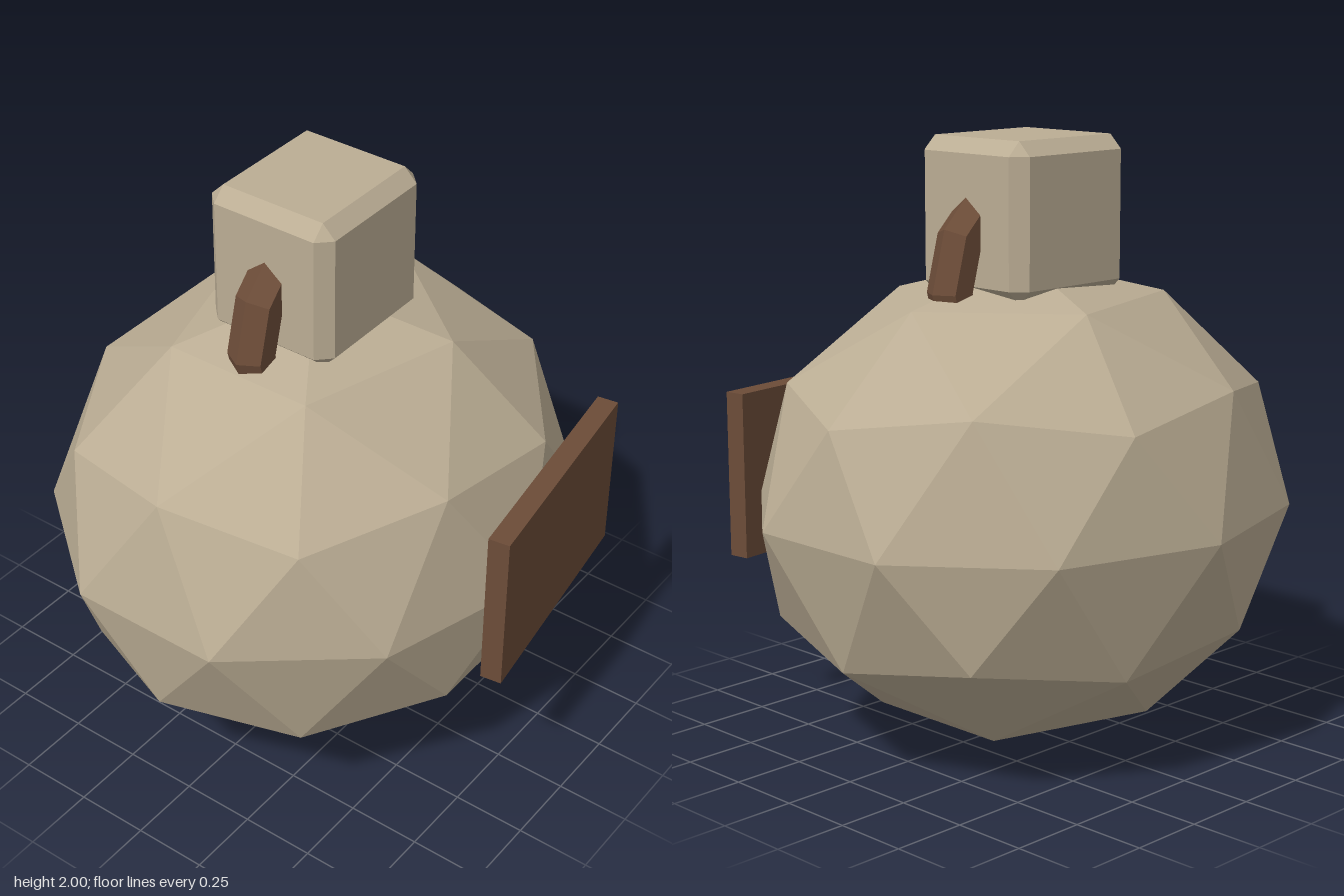
import * as THREE from 'three';
import { ConvexGeometry } from 'three/addons/geometries/ConvexGeometry.js';

const CENTRE_Z = -0.03;

const clay = new THREE.MeshStandardMaterial({ color: 0xbbad94, flatShading: true });
clay.name = 'clay';
const leather = new THREE.MeshStandardMaterial({ color: 0x6c4c38, flatShading: true });
leather.name = 'brown';

// Box with every edge cut off at 45 degrees
function chamferedBox(w, h, d, c) {
  const points = [];
  for (const sx of [-1, 1]) for (const sy of [-1, 1]) for (const sz of [-1, 1]) {
    for (let axis = 0; axis < 3; axis++) {
      const p = [w / 2 - c, h / 2 - c, d / 2 - c];
      p[axis] += c;
      points.push(new THREE.Vector3(sx * p[0], sy * p[1], sz * p[2]));
    }
  }
  return new ConvexGeometry(points);
}

export function createModel() {
  const model = new THREE.Group();
  model.name = 'jug';

  function add(name, geometry, material, x, y, z) {
    const mesh = new THREE.Mesh(geometry, material);
    mesh.name = name;
    mesh.position.set(x, y, z);
    model.add(mesh);
    return mesh;
  }

  // Faceted round body, turned so a corner points straight up
  const ball = new THREE.IcosahedronGeometry(1, 1);
  ball.rotateZ(-Math.atan2(2, 1 + Math.sqrt(5)));
  ball.scale(0.937, 0.8, 0.85);
  add('body', ball, clay, 0, 0.8, CENTRE_Z);

  // Square neck
  add('neck', chamferedBox(0.51, 0.51, 0.468, 0.046), clay, 0, 1.745, CENTRE_Z - 0.002);

  // Six-sided ring passing through the neck and shoulders
  add('handleRing', new THREE.TorusGeometry(0.327, 0.075, 6, 12), leather, 0, 1.522, CENTRE_Z);

  // Slightly turned label board on the front
  const label = add('label', new THREE.BoxGeometry(0.842, 0.565, 0.072), leather, 0.188, 0.852, 0.778);
  label.rotation.y = THREE.MathUtils.degToRad(8);

  return model;
}
